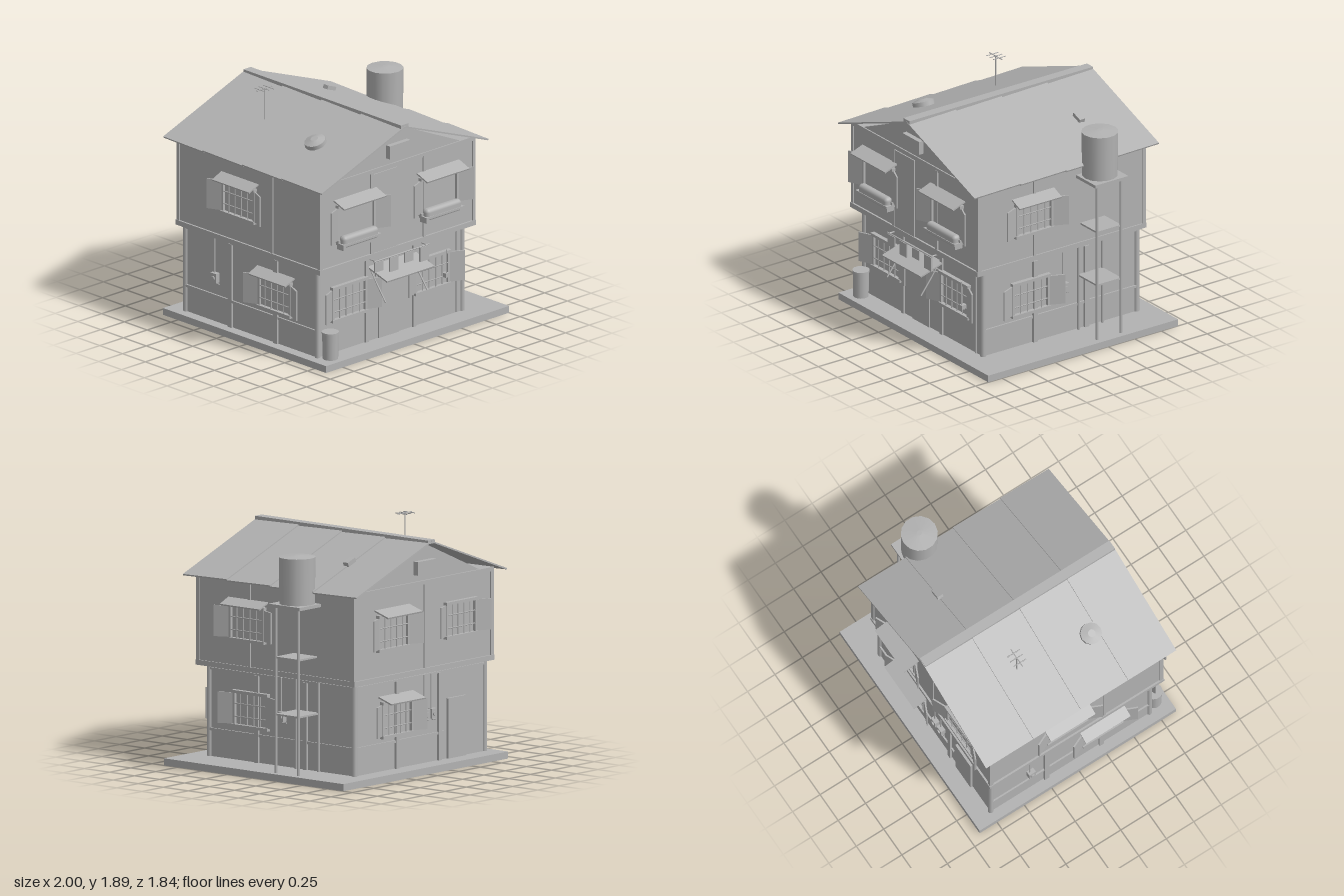
import * as THREE from 'three';
import { RoundedBoxGeometry } from 'three/addons/geometries/RoundedBoxGeometry.js';

const grey = new THREE.MeshStandardMaterial({ color: 0xb2b2b2 });
grey.name = 'plain grey';

function add(parent, name, geo, x = 0, y = 0, z = 0) {
  const m = new THREE.Mesh(geo, grey);
  m.name = name;
  m.position.set(x, y, z);
  parent.add(m);
  return m;
}
// box given by its limits
function box(parent, name, x0, x1, y0, y1, z0, z1) {
  return add(parent, name, new THREE.BoxGeometry(x1 - x0, y1 - y0, z1 - z0),
    (x0 + x1) / 2, (y0 + y1) / 2, (z0 + z1) / 2);
}
// round rod between two points
function rod(parent, name, a, b, r = 0.008, sides = 8) {
  const A = new THREE.Vector3(...a), B = new THREE.Vector3(...b), d = B.clone().sub(A);
  const m = add(parent, name, new THREE.CylinderGeometry(r, r, d.length(), sides), ...A.clone().add(B).multiplyScalar(0.5).toArray());
  m.quaternion.setFromUnitVectors(new THREE.Vector3(0, 1, 0), d.normalize());
  return m;
}
// thin sloping plate from (y0, z0) at the wall to (y1, z1) outside
function awning(parent, u, w, y0, z0, y1, z1, t = 0.012) {
  const m = add(parent, 'awning', new THREE.BoxGeometry(w, t, Math.hypot(y1 - y0, z1 - z0)), u, (y0 + y1) / 2, (z0 + z1) / 2);
  m.rotation.x = Math.atan2(y0 - y1, z1 - z0);
}
// group whose local +z points out of a wall
function wall(root, name, angle) {
  const g = new THREE.Group();
  g.name = name;
  g.rotation.y = angle;
  root.add(g);
  return g;
}

// window on a wall at depth d, centred at (u, v)
function windowSet(parent, u, v, d, { w = 0.34, h = 0.25, bars = true, roof = 0, planter = false } = {}) {
  const g = new THREE.Group();
  g.name = 'window';
  g.position.set(u, v, d);
  parent.add(g);
  const x = w / 2, y = h / 2;
  box(g, 'windowPane', -x, x, -y, y, -0.01, 0.004);
  for (const s of [-1, 1]) {
    box(g, 'windowFrameSide', s * x - 0.01, s * x + 0.01, -y, y, 0, 0.025);
    // open shutters hinged at the frame
    const hinge = new THREE.Group();
    hinge.name = 'shutter';
    hinge.position.set(s * x, 0, 0.012);
    hinge.rotation.y = -s * 0.42;
    g.add(hinge);
    add(hinge, 'shutterPanel', new THREE.BoxGeometry(0.135, h - 0.01, 0.012), s * 0.0675, 0, 0);
  }
  box(g, 'windowLintel', -x - 0.015, x + 0.015, y - 0.005, y + 0.018, 0, 0.035);
  box(g, 'windowSill', -x - 0.015, x + 0.015, -y - 0.018, -y + 0.005, 0, 0.035);
  if (bars) {
    for (let i = 1; i < 5; i++) rod(g, 'windowBar', [-x + w * i / 5, -y, 0.02], [-x + w * i / 5, y, 0.02], 0.005, 6);
    for (const t of [-0.06, 0.04]) rod(g, 'windowCrossbar', [-x, t, 0.02], [x, t, 0.02], 0.005, 6);
  }
  if (roof) awning(g, 0, w + 0.065, y + 0.055, 0, y + 0.012, roof);
  if (planter) {
    add(g, 'planterBox', new RoundedBoxGeometry(w - 0.01, 0.1, 0.07, 3, 0.03), 0, -y - 0.01, 0.045);
    box(g, 'planterTray', -x - 0.01, x + 0.01, -y - 0.035, -y - 0.018, 0, 0.085);
    box(g, 'planterBase', -x, x, -y - 0.07, -y - 0.035, 0, 0.075);
  }
}
// utility meter with a pipe going up to the storey band
function meter(parent, u, v, d, top) {
  box(parent, 'meterBox', u - 0.03, u + 0.03, v - 0.035, v + 0.04, d, d + 0.04);
  rod(parent, 'meterDial', [u, v, d + 0.03], [u, v, d + 0.05], 0.018, 12);
  rod(parent, 'meterPipe', [u - 0.012, v, d + 0.015], [u - 0.012, top, d + 0.015], 0.006);
  rod(parent, 'meterFeed', [u, v - 0.045, d + 0.015], [u + 0.04, v - 0.045, d + 0.015], 0.006);
}

export function createModel() {
  const root = new THREE.Group();
  root.name = 'house';
  const cx = -0.08;

  // ground slab and storeys
  box(root, 'groundSlab', -0.93, 1.0, 0, 0.055, -0.91, 0.88);
  box(root, 'lowerStorey', -0.845, 0.685, 0.05, 0.76, -0.755, 0.7);
  box(root, 'upperStorey', -0.89, 0.73, 0.78, 1.46, -0.785, 0.775);
  box(root, 'storeyBand', -0.905, 0.74, 0.755, 0.795, -0.8, 0.79);
  box(root, 'lowerTopTrim', -0.855, 0.695, 0.725, 0.742, -0.765, 0.71);
  box(root, 'eaveBeam', -0.9, 0.74, 1.44, 1.472, -0.795, 0.785);
  for (const x of [-0.84, 0.68]) for (const z of [-0.75, 0.695])
    rod(root, 'lowerCornerPost', [x, 0.05, z], [x, 0.76, z], 0.022, 10);
  for (const x of [-0.885, 0.725]) for (const z of [-0.78, 0.77])
    box(root, 'upperCornerPost', x - 0.015, x + 0.015, 0.79, 1.45, z - 0.015, z + 0.015);
  // waist rail on the sides and back
  for (const x of [-0.848, 0.688]) box(root, 'waistRail', x - 0.01, x + 0.01, 0.255, 0.275, -0.755, 0.7);
  box(root, 'backWaistRail', -0.35, 0.68, 0.255, 0.275, -0.768, -0.75);

  // gables with a vent
  const tri = new THREE.Shape([[-0.76, 1.465], [0.6, 1.465], [cx, 1.765]].map(p => new THREE.Vector2(...p)));
  for (const z of [-0.78, 0.75]) add(root, 'gable', new THREE.ExtrudeGeometry(tri, { depth: 0.025, bevelEnabled: false }), 0, 0, z);
  for (const z of [-0.8, 0.79]) box(root, 'gableVent', -0.195, 0.022, 1.525, 1.63, z - 0.025, z + 0.025);

  // roof sheets, four lapped panels on each slope
  const slope = Math.atan2(0.325, 0.88), len = Math.hypot(0.325, 0.88);
  for (const s of [-1, 1]) {
    const side = new THREE.Group();
    side.name = 'roofSlope';
    side.position.set(cx + s * 0.44, 1.615, 0);
    side.rotation.z = -s * slope;
    root.add(side);
    for (let i = 0; i < 4; i++) {
      const m = add(side, 'roofPanel', new THREE.BoxGeometry(len, 0.012, 0.44), 0, 0, -0.653 + i * 0.432);
      m.rotation.x = 0.022;
    }
  }
  box(root, 'ridgeCap', -0.12, -0.042, 1.765, 1.793, -0.87, 0.86);

  // roof fittings
  const vent = new THREE.Group();
  vent.name = 'roofVent';
  vent.position.set(-0.54, 1.625, 0.36);
  vent.rotation.z = slope;
  root.add(vent);
  add(vent, 'ventDrum', new THREE.CylinderGeometry(0.085, 0.085, 0.035, 12), 0, 0.01, 0);
  add(vent, 'ventCap', new THREE.CylinderGeometry(0.03, 0.085, 0.018, 12), 0, 0.036, 0);
  add(root, 'roofBox', new THREE.BoxGeometry(0.09, 0.035, 0.05), 0.37, 1.635, -0.435).rotation.z = -slope;
  rod(root, 'antennaMast', [-0.475, 1.63, -0.27], [-0.475, 1.89, -0.27], 0.005, 6);
  rod(root, 'antennaBoom', [-0.555, 1.885, -0.27], [-0.39, 1.885, -0.27], 0.004, 6);
  for (const x of [-0.52, -0.475, -0.43]) rod(root, 'antennaElement', [x, 1.885, -0.33], [x, 1.885, -0.215], 0.004, 6);

  // front wall
  const front = wall(root, 'frontWall', 0);
  for (const x of [-0.53, 0.345]) windowSet(front, x, 1.13, 0.78, { w: 0.38, h: 0.27, bars: false, roof: 0.115, planter: true });
  for (const x of [-0.527, 0.345]) windowSet(front, x, 0.45, 0.7, { w: 0.345 });
  for (const x of [-0.35, 0.2]) box(front, 'upperStud', x - 0.014, x + 0.014, 0.79, 1.45, 0.77, 0.787);
  box(front, 'wallPanel', -0.335, -0.085, 0.795, 1.43, 0.77, 0.784);
  for (const x of [-0.335, 0.165]) box(front, 'lowerStud', x - 0.016, x + 0.016, 0.05, 0.73, 0.69, 0.715);
  box(front, 'frontDoor', -0.21, 0.005, 0.055, 0.56, 0.69, 0.71);
  box(front, 'doorLintel', -0.24, 0.15, 0.56, 0.58, 0.69, 0.712);
  // entrance canopy with hanging flags
  awning(front, -0.07, 0.5, 0.655, 0.7, 0.59, 0.915);
  rod(front, 'flagRail', [-0.37, 0.742, 0.825], [0.21, 0.742, 0.825], 0.006);
  for (const x of [-0.35, 0.19]) rod(front, 'railBracket', [x, 0.742, 0.7], [x, 0.742, 0.825], 0.006);
  [-0.32, -0.165, -0.005, 0.155].forEach((x, i) =>
    box(front, 'hangingFlag', x - 0.045, x + 0.045, i % 2 ? 0.62 : 0.655, 0.735, 0.82, 0.832));
  for (const x of [-0.3, 0.135]) {
    rod(front, 'canopyStrut', [x, 0.54, 0.78], [x, 0.41, 0.88], 0.006);
    rod(front, 'canopyTie', [x, 0.64, 0.71], [x, 0.54, 0.78], 0.005);
  }
  rod(front, 'frontPipe', [0.47, 0.39, 0.745], [0.47, 0.61, 0.745], 0.005, 6);
  box(front, 'frontMeter', 0.455, 0.49, 0.385, 0.42, 0.71, 0.755);
  rod(front, 'downPipe', [0.61, 0.06, 0.71], [0.61, 0.74, 0.71], 0.007);

  // right wall (local x runs toward -z)
  const right = wall(root, 'rightWall', Math.PI / 2);
  windowSet(right, -0.265, 1.13, 0.735, { w: 0.33, roof: 0.1 });
  windowSet(right, -0.265, 0.455, 0.69, { w: 0.33 });
  for (const u of [-0.215, 0.27]) box(right, 'lowerStud', u - 0.02, u + 0.02, 0.05, 0.73, 0.68, 0.705);
  box(right, 'upperStud', -0.26, -0.24, 0.79, 1.45, 0.72, 0.742);
  meter(right, 0.05, 0.44, 0.69, 0.74);

  // left wall (local x runs toward +z)
  const left = wall(root, 'leftWall', -Math.PI / 2);
  windowSet(left, -0.1, 1.13, 0.895, { roof: 0.1 });
  windowSet(left, 0.25, 0.45, 0.85, { roof: 0.1 });
  for (const u of [-0.25, 0.25]) box(left, 'lowerStud', u - 0.02, u + 0.02, 0.05, 0.73, 0.84, 0.862);
  box(left, 'upperStud', 0.24, 0.26, 0.79, 1.45, 0.885, 0.9);
  meter(left, -0.4, 0.42, 0.85, 0.74);

  // back wall (local x runs toward -x)
  const back = wall(root, 'backWall', Math.PI);
  windowSet(back, -0.29, 1.13, 0.79, { roof: 0.135 });
  windowSet(back, 0.5, 1.13, 0.79);
  windowSet(back, -0.21, 0.45, 0.76, { roof: 0.13 });
  for (const u of [-0.2, 0.3]) box(back, 'lowerStud', u - 0.018, u + 0.018, 0.05, 0.73, 0.75, 0.775);
  box(back, 'upperStud', 0.09, 0.11, 0.79, 1.45, 0.78, 0.795);
  box(back, 'backDoor', 0.39, 0.6, 0.055, 0.52, 0.75, 0.775);
  for (const u of [0.12, 0.2]) meter(back, u, 0.43, 0.76, 0.74);

  // barrel beside the entrance
  add(root, 'barrel', new THREE.CylinderGeometry(0.063, 0.06, 0.205, 14), -0.783, 0.157, 0.775);
  add(root, 'barrelLid', new THREE.CylinderGeometry(0.067, 0.067, 0.015, 14), -0.783, 0.264, 0.775);

  // water tower
  const tower = new THREE.Group();
  tower.name = 'waterTower';
  tower.position.set(0.82, 0, -0.3);
  root.add(tower);
  for (const x of [-0.115, 0.122]) for (const z of [-0.112, 0.112])
    rod(tower, 'towerLeg', [x, 0.05, z], [x, 1.34, z], 0.011);
  box(tower, 'towerPlatform', -0.16, 0.16, 1.335, 1.36, -0.155, 0.155);
  for (const y of [0.505, 0.945]) box(tower, 'towerShelf', -0.12, 0.125, y - 0.007, y + 0.007, -0.115, 0.115);
  add(tower, 'waterTank', new THREE.CylinderGeometry(0.142, 0.138, 0.36, 14), 0.005, 1.54, 0);
  add(tower, 'tankLid', new THREE.CylinderGeometry(0.02, 0.142, 0.012, 14), 0.005, 1.726, 0);

  return root;
}
